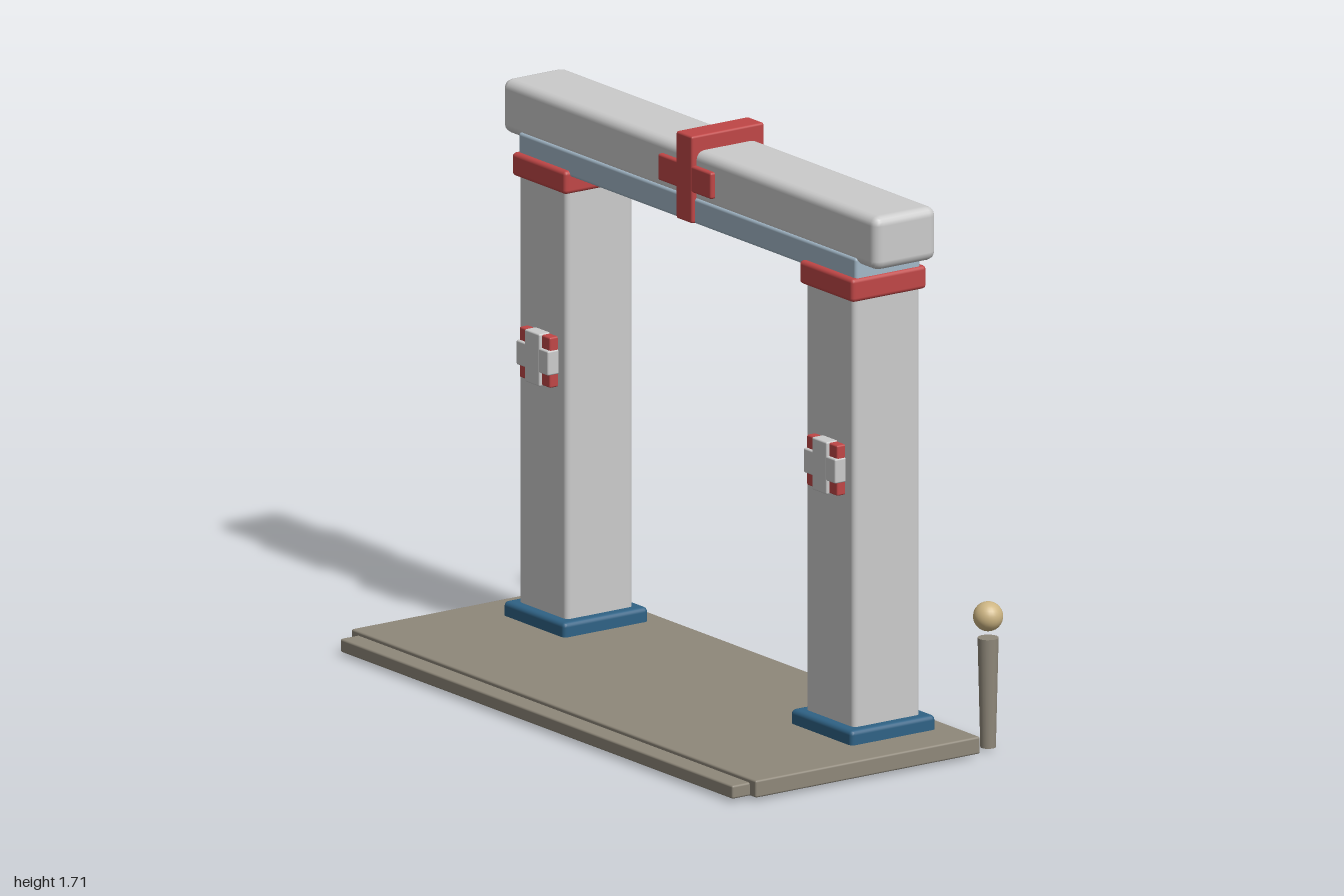
import * as THREE from 'three';
import { RoundedBoxGeometry } from 'three/addons/geometries/RoundedBoxGeometry.js';

const material = (color) => new THREE.MeshStandardMaterial({ color });

export function createModel() {
  const model = new THREE.Group();
  const grey = material(0xcccccc);
  const stone = material(0x8f887a);
  const underside = material(0x756c50);
  const red = material(0xbf4646);
  const blue = material(0x2f6285);
  const paleBlue = material(0xa3b8c8);
  const gold = material(0xcdb583);

  function add(parent, name, geometry, mat, x, y, z) {
    const mesh = new THREE.Mesh(geometry, mat);
    mesh.name = name;
    mesh.position.set(x, y, z);
    parent.add(mesh);
    return mesh;
  }

  // Softened box given by its lower and upper limits on each axis
  function slab(parent, name, mat, [x0, x1], [y0, y1], [z0, z1], radius) {
    const geometry = new RoundedBoxGeometry(x1 - x0, y1 - y0, z1 - z0, 2, radius);
    return add(parent, name, geometry, mat, (x0 + x1) / 2, (y0 + y1) / 2, (z0 + z1) / 2);
  }

  // Floor with a front step and a panel underneath
  slab(model, 'platform', stone, [-1, 1], [0.01, 0.062], [-0.38, 0.425], 0.006);
  slab(model, 'frontStep', stone, [-0.97, 0.97], [0.01, 0.05], [0.38, 0.487], 0.006);
  add(model, 'undersidePanel', new THREE.BoxGeometry(0.96, 0.02, 0.36), underside, 0, 0.015, -0.02);

  // Pillars with plinth, collar and a square emblem
  for (const side of [-1, 1]) {
    const pillar = new THREE.Group();
    pillar.name = side > 0 ? 'leftPillar' : 'rightPillar';
    pillar.position.x = side * 0.71;
    model.add(pillar);
    slab(pillar, 'plinth', blue, [-0.152, 0.152], [0.005, 0.105], [-0.322, -0.018], 0.014);
    slab(pillar, 'shaft', grey, [-0.12, 0.12], [0, 1.42], [-0.29, -0.05], 0.016);
    slab(pillar, 'collar', red, [-0.133, 0.133], [1.39, 1.46], [-0.303, -0.035], 0.012);
    slab(pillar, 'emblemPlate', red, [-0.076, 0.076], [0.797, 0.949], [-0.07, -0.022], 0.005);
    slab(pillar, 'emblemUpright', grey, [-0.037, 0.037], [0.794, 0.952], [-0.06, -0.012], 0.005);
    slab(pillar, 'emblemCrossbar', grey, [-0.079, 0.079], [0.836, 0.91], [-0.06, -0.0125], 0.005);
  }

  // Top beam on a thin lintel
  slab(model, 'lintel', paleBlue, [-0.835, 0.835], [1.442, 1.52], [-0.287, -0.053], 0.01);
  slab(model, 'beam', grey, [-0.926, 0.926], [1.498, 1.66], [-0.282, -0.058], 0.028);

  // Cross wrapped around the middle of the beam
  slab(model, 'crossUpright', red, [-0.04, 0.04], [1.444, 1.707], [-0.302, -0.042], 0.007);
  slab(model, 'crossArms', red, [-0.132, 0.132], [1.538, 1.618], [-0.301, -0.043], 0.007);

  // Rear posts, each with a ball floating just above
  for (const side of [-1, 1]) {
    const post = new THREE.Group();
    post.name = side > 0 ? 'leftPost' : 'rightPost';
    post.position.set(side * 0.947, 0, -0.446);
    model.add(post);
    add(post, 'postShaft', new THREE.CylinderGeometry(0.031, 0.023, 0.33, 16), stone, 0, 0.173, 0);
    add(post, 'postBall', new THREE.SphereGeometry(0.044, 24, 16), gold, 0, 0.402, 0);
  }

  return model;
}
